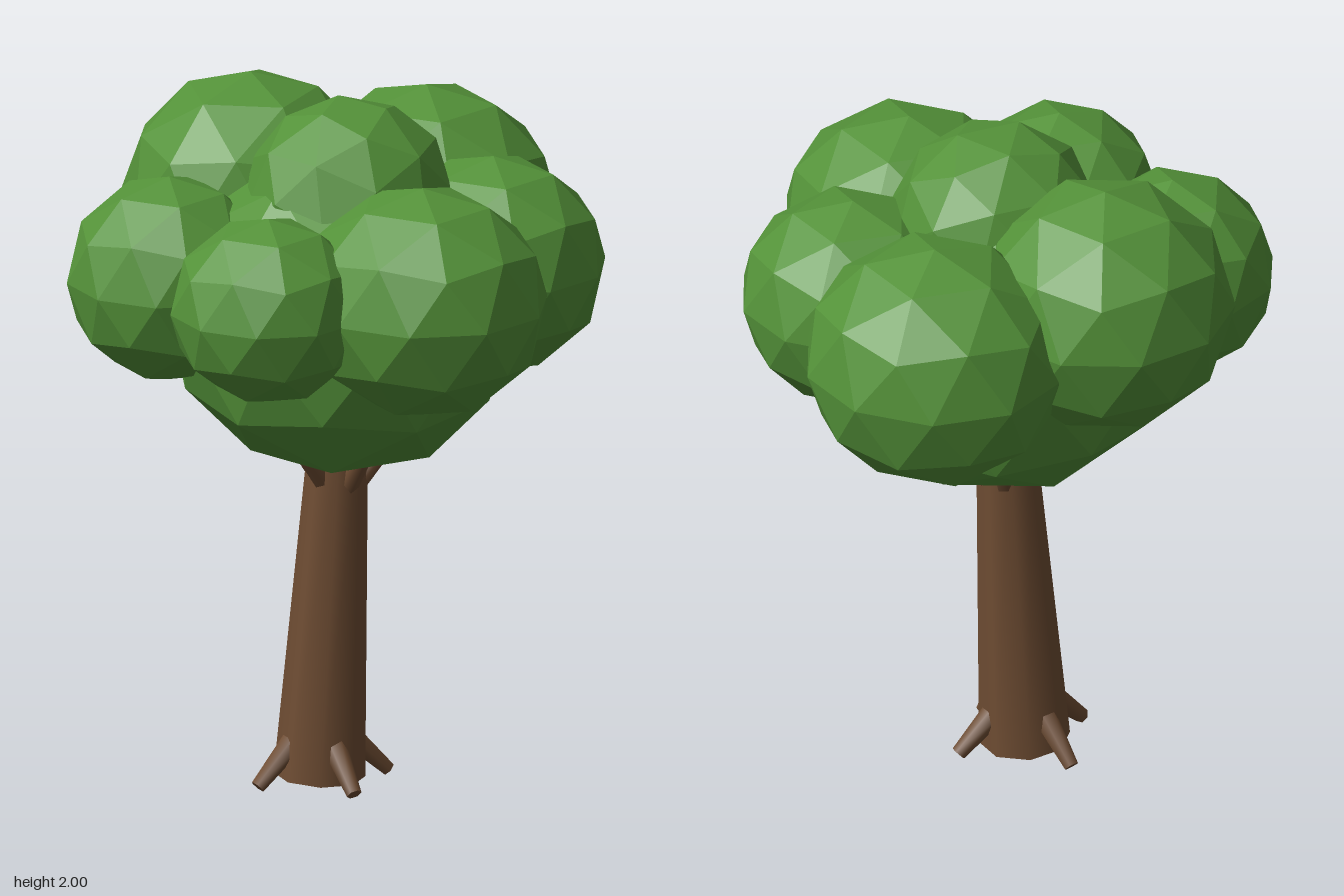
import * as THREE from 'three';

const leafMat = new THREE.MeshStandardMaterial({ color: 0x549239, flatShading: true, roughness: 1 });
const barkMat = new THREE.MeshStandardMaterial({ color: 0x6f4d33, roughness: 1 });

const POINT_UP = [0, 0, 0.5536]; // icosahedron corner on top
const FACE_UP = [0.3649, 0, 0];  // icosahedron face on top

// Faceted foliage clump: centre, half sizes, facet orientation, turn about y
function clump(name, [x, y, z], [sx, sy, sz], tilt, turn) {
  const geo = new THREE.IcosahedronGeometry(1, 1);
  geo.rotateX(tilt[0]).rotateZ(tilt[2]).rotateY(turn).scale(sx, sy, sz);
  geo.computeVertexNormals();
  const mesh = new THREE.Mesh(geo, leafMat);
  mesh.name = name;
  mesh.position.set(x, y, z);
  return mesh;
}

// Tapered round limb between two points
function limb(name, from, to, r0, r1, sides) {
  const a = new THREE.Vector3(...from), b = new THREE.Vector3(...to);
  const dir = b.clone().sub(a);
  const mesh = new THREE.Mesh(new THREE.CylinderGeometry(r1, r0, dir.length(), sides), barkMat);
  mesh.name = name;
  mesh.position.copy(a).add(b).multiplyScalar(0.5);
  mesh.quaternion.setFromUnitVectors(new THREE.Vector3(0, 1, 0), dir.normalize());
  return mesh;
}

// Point at a distance and compass angle (degrees, +x towards +z) around an axis
const around = (cx, cz, deg, r, y) => {
  const a = THREE.MathUtils.degToRad(deg);
  return [cx + r * Math.cos(a), y, cz + r * Math.sin(a)];
};

export function createModel() {
  const tree = new THREE.Group();
  tree.name = 'tree';

  // Leaning trunk
  const wood = new THREE.Group();
  wood.name = 'wood';
  wood.add(limb('trunk', [-0.038, 0.022, 0.11], [0, 1.05, 0.07], 0.13, 0.083, 8));

  // Roots sloping down to the ground
  for (const deg of [18, 105, 192, 298]) {
    wood.add(limb('root', around(-0.038, 0.11, deg, 0.09, 0.13), around(-0.038, 0.11, deg, 0.205, 0.018), 0.036, 0.022, 6));
  }

  // Short branches reaching into the crown
  for (let i = 0; i < 5; i++) {
    const deg = 18 + i * 72;
    wood.add(limb('branch', around(0, 0.07, deg, 0.05, 0.88), around(0, 0.07, deg, 0.16, 1.02), 0.028, 0.024, 6));
  }
  tree.add(wood);

  // Crown of overlapping clumps
  const crown = new THREE.Group();
  crown.name = 'crown';
  crown.add(
    clump('coreClump', [0, 1.4, 0.05], [0.51, 0.48, 0.51], POINT_UP, 0.31),
    clump('topClump', [0.02, 1.72, 0.05], [0.3, 0.3, 0.31], FACE_UP, 0),
    clump('backClump', [-0.14, 1.56, -0.44], [0.38, 0.36, 0.37], POINT_UP, 0),
    clump('rightClump', [-0.41, 1.635, 0], [0.37, 0.365, 0.37], POINT_UP, 0.31),
    clump('leftClump', [0.42, 1.535, 0.17], [0.37, 0.335, 0.35], POINT_UP, 0),
    clump('backLeftClump', [0.29, 1.525, -0.26], [0.33, 0.315, 0.315], POINT_UP, 0),
    clump('frontRightClump', [-0.32, 1.505, 0.43], [0.295, 0.3, 0.295], POINT_UP, 0),
    clump('frontLeftClump', [0.16, 1.535, 0.53], [0.285, 0.27, 0.28], POINT_UP, 0)
  );
  tree.add(crown);
  return tree;
}
